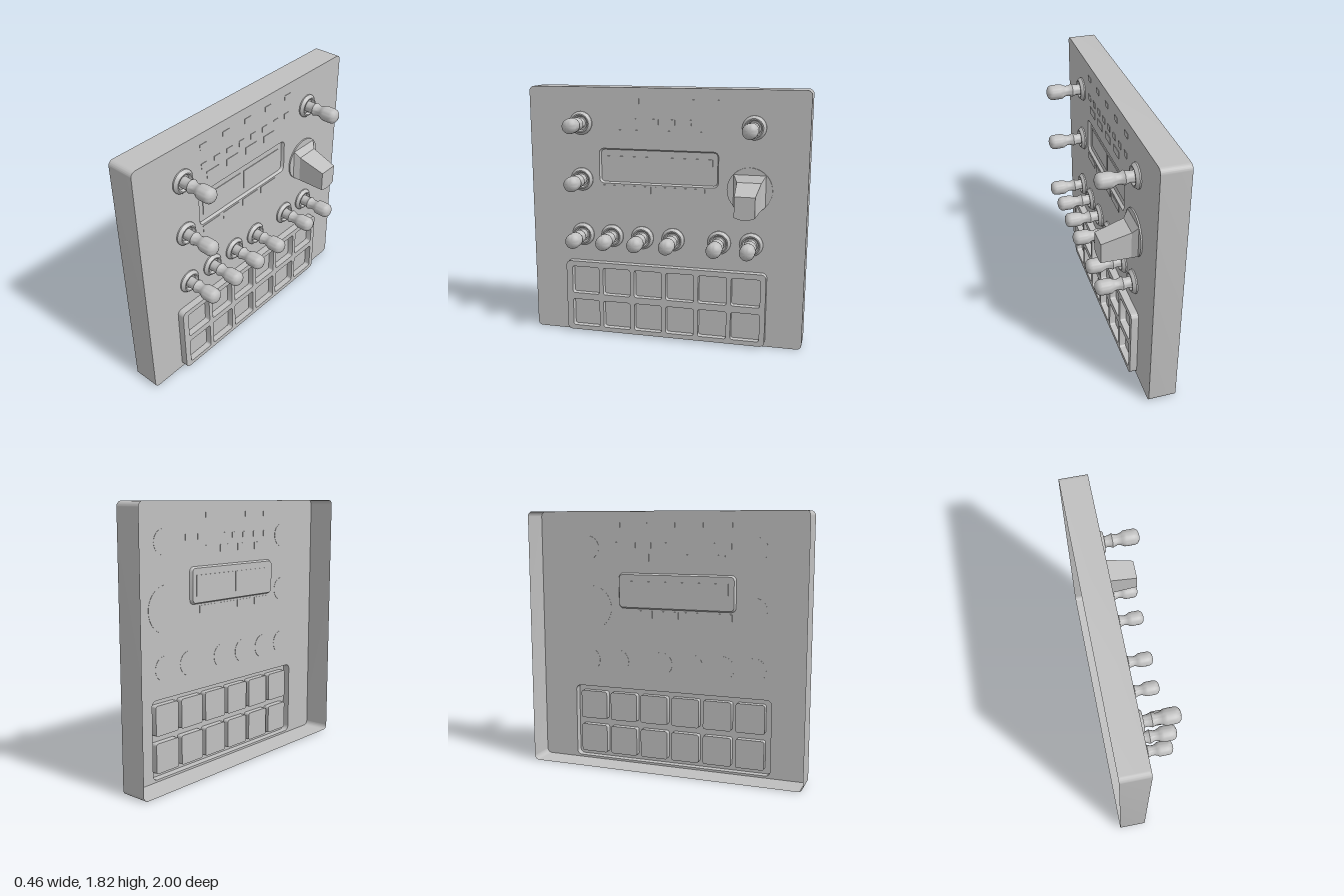
import * as THREE from 'three';
import { toCreasedNormals } from 'three/addons/utils/BufferGeometryUtils.js';

const BACK = -0.23, FACE = -0.04, PAD_TOP = 0.01;

// Rounded rectangle centred on (x, y); traced from the lower left corner
function roundRect(x, y, w, h, r, PathType = THREE.Shape) {
  const p = new PathType(), a = w / 2 - r, b = h / 2 - r;
  p.absarc(x + a, y - b, r, -Math.PI / 2, 0);
  p.absarc(x + a, y + b, r, 0, Math.PI / 2);
  p.absarc(x - a, y + b, r, Math.PI / 2, Math.PI);
  p.absarc(x - a, y - b, r, Math.PI, Math.PI * 1.5);
  p.closePath();
  return p;
}

// Surface lofted through closed loops of [x, y, z] points
function loft(loops, crease = 0.5) {
  const pos = [], n = loops[0].length;
  for (let k = 0; k + 1 < loops.length; k++) {
    for (let i = 0; i < n; i++) {
      const j = (i + 1) % n;
      const a = loops[k][i], b = loops[k][j], c = loops[k + 1][j], d = loops[k + 1][i];
      pos.push(...a, ...b, ...c, ...a, ...c, ...d);
    }
  }
  const g = new THREE.BufferGeometry();
  g.setAttribute('position', new THREE.Float32BufferAttribute(pos, 3));
  return toCreasedNormals(g, crease);
}

const loopOf = (shape, z) => shape.getPoints(6).map(p => [p.x, p.y, z]);
const wall = (s0, z0, s1, z1) => loft([loopOf(s0, z0), loopOf(s1, z1)]);

export function createModel() {
  const grey = new THREE.MeshStandardMaterial({ color: 0xc0c0c0, side: THREE.DoubleSide });
  grey.name = 'light grey';

  const model = new THREE.Group();
  // Built facing +z, then turned so that the panel faces +x
  const unit = new THREE.Group();
  unit.name = 'controlPanel';
  unit.rotation.y = Math.PI / 2;
  model.add(unit);

  function add(name, geometry, x = 0, y = 0, z = 0, parent = unit) {
    const m = new THREE.Mesh(geometry, grey);
    m.name = name;
    m.position.set(x, y, z);
    parent.add(m);
    return m;
  }
  const sheet = (name, shape, z) => add(name, new THREE.ShapeGeometry(shape, 6), 0, 0, z);

  // Casing: face plate with openings and four walls, open at the back
  const outline = [0, 0.91, 2, 1.82, 0.035];
  const display = [-0.048, 1.264, 0.866, 0.252, 0.035];
  const padBlock = [0.002, 0.2825, 1.479, 0.535, 0.035];
  const plate = roundRect(...outline);
  plate.holes.push(roundRect(...display, THREE.Path), roundRect(...padBlock, THREE.Path));
  sheet('facePlate', plate, FACE);
  add('casingWalls', wall(roundRect(...outline), BACK, roundRect(...outline), FACE));

  // Recessed display with two windows
  const floor = [-0.048, 1.264, 0.846, 0.232, 0.028];
  add('displayRim', wall(roundRect(...floor), FACE - 0.02, roundRect(...display), FACE));
  sheet('displayFloor', roundRect(...floor), FACE - 0.02);
  for (const x of [-0.245, 0.155]) {
    add('displayWindow', new THREE.BoxGeometry(0.37, 0.14, 0.009), x, 1.264, FACE - 0.02);
  }

  // Raised pad block with a 6 x 2 grid of sunken pads
  const padFace = roundRect(...padBlock);
  for (const y of [0.407, 0.152]) {
    for (let i = 0; i < 6; i++) {
      const x = -0.588 + i * 0.2376;
      const rim = [x, y, 0.206, 0.206, 0.016];
      padFace.holes.push(roundRect(...rim, THREE.Path));
      add('padWell', wall(roundRect(...rim), FACE + 0.005, roundRect(...rim), PAD_TOP));
      sheet('pad', roundRect(...rim), FACE + 0.005);
    }
  }
  sheet('padBlockFace', padFace, PAD_TOP);
  add('padBlockWalls', wall(roundRect(...padBlock), FACE, roundRect(...padBlock), PAD_TOP));

  // Rows of indicator lamps and small labels: count, first x, step, y, width, height
  const rows = [
    ['indicator', 5, -0.42, 0.206, 1.727, 0.06, 0.035],
    ['smallLamp', 8, -0.42, 0.117, 1.585, 0.05, 0.04],
    ['upperLabel', 4, -0.345, 0.185, 1.5, 0.11, 0.05],
    ['lowerLabel', 4, -0.375, 0.195, 1.1, 0.16, 0.05],
  ];
  for (const [name, count, x0, step, y, w, h] of rows) {
    const g = new THREE.BoxGeometry(w, h, 0.007);
    for (let i = 0; i < count; i++) add(name, g, x0 + i * step, y, FACE);
  }

  // Toggle switches: collar with a dished top, waisted lever and rounded tip
  const profile = [
    [0, -0.042], [0.083, -0.042], [0.083, -0.031], [0.066, -0.01], [0.058, -0.01],
    [0.048, -0.028], [0.038, -0.028], [0.037, 0.015], [0.041, 0.03], [0.047, 0.043],
    [0.041, 0.056], [0.036, 0.072], [0.037, 0.09], [0.043, 0.106], [0.051, 0.118],
    [0.053, 0.135], [0.053, 0.185], [0.05, 0.203], [0.038, 0.217], [0.02, 0.224], [0, 0.226],
  ].map(([r, z]) => new THREE.Vector2(r, z));
  const toggle = toCreasedNormals(new THREE.LatheGeometry(profile, 32).rotateX(Math.PI / 2), 0.6);
  const spots = [[-0.614, 1.565], [0.625, 1.565], [-0.614, 1.16]];
  for (const x of [-0.614, -0.39, -0.163, 0.064, 0.398, 0.625]) spots.push([x, 0.75]);
  for (const [x, y] of spots) add('toggleSwitch', toggle, x, y);

  // Large rotary knob: thin disc with a tapered grip
  const knob = new THREE.Group();
  knob.name = 'rotaryKnob';
  knob.position.set(0.604, 1.135, 0);
  unit.add(knob);
  const R = 0.158;
  add('knobDisc', new THREE.CylinderGeometry(R, R, 0.012, 40).rotateX(Math.PI / 2), 0, 0, -0.036, knob);

  // Grip section: flat top and sides, lower edge following the disc
  const section = (half, top, z) => {
    const pts = [[half, top, z], [-half, top, z]];
    for (let i = 0; i <= 8; i++) {
      const x = -half + (2 * half * i) / 8;
      pts.push([x, -Math.sqrt(R * R - x * x), z]);
    }
    return pts;
  };
  const tip = section(0.07, 0, 0.2);
  add('knobGrip', loft([section(0.113, 0.11, -0.032), section(0.084, 0.06, 0.005), tip], 0.35), 0, 0, 0, knob);
  const tipShape = new THREE.Shape(tip.map(([x, y]) => new THREE.Vector2(x, y)));
  add('knobTip', new THREE.ShapeGeometry(tipShape), 0, 0, 0.2, knob);

  return model;
}
